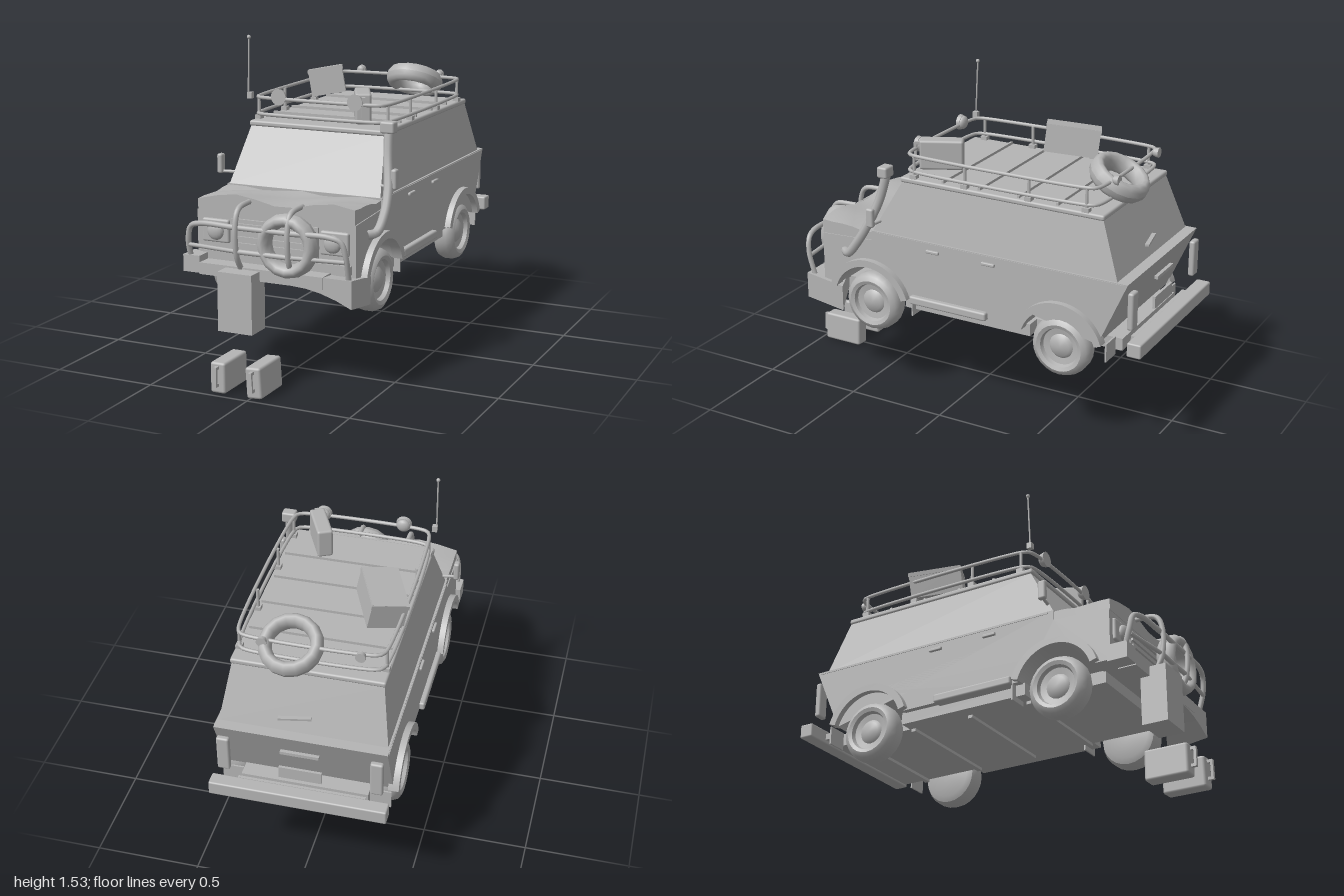
import * as THREE from 'three';
import { toCreasedNormals } from 'three/addons/utils/BufferGeometryUtils.js';
import { RoundedBoxGeometry } from 'three/addons/geometries/RoundedBoxGeometry.js';

const V = (x, y, z) => new THREE.Vector3(x, y, z);

export function createModel() {
  const model = new THREE.Group();
  const grey = new THREE.MeshStandardMaterial({ color: 0xb4b4b4 });
  grey.name = 'plain grey';

  const add = (name, geo, x = 0, y = 0, z = 0, rx = 0, ry = 0, rz = 0, parent = model) => {
    const mesh = new THREE.Mesh(geo, grey);
    mesh.name = name;
    mesh.position.set(x, y, z);
    mesh.rotation.set(rx, ry, rz);
    parent.add(mesh);
    return mesh;
  };
  const box = (w, h, d) => new THREE.BoxGeometry(w, h, d);
  const rbox = (w, h, d, r = 0.01) => new RoundedBoxGeometry(w, h, d, 2, r);
  // box given by its limits
  const span = (name, x0, x1, y0, y1, z0, z1, r = 0) =>
    add(name, r ? rbox(x1 - x0, y1 - y0, z1 - z0, r) : box(x1 - x0, y1 - y0, z1 - z0),
      (x0 + x1) / 2, (y0 + y1) / 2, (z0 + z1) / 2);
  const tube = (name, pts, r, closed = false, seg = 32) =>
    add(name, new THREE.TubeGeometry(new THREE.CatmullRomCurve3(pts, closed), seg, r, 8, closed));
  const bar = (name, a, b, r) => {
    const m = add(name, new THREE.CylinderGeometry(r, r, a.distanceTo(b), 8));
    m.position.copy(a).lerp(b, 0.5);
    m.quaternion.setFromUnitVectors(V(0, 1, 0), b.clone().sub(a).normalize());
  };
  // extrude a (z, y) outline across x
  const across = (shape, width) => new THREE.ExtrudeGeometry(shape, { depth: width, bevelEnabled: false, curveSegments: 20 })
    .translate(0, 0, -width / 2).rotateY(-Math.PI / 2);
  const warp = (geo, rule) => {
    const p = geo.attributes.position, v = V(0, 0, 0);
    for (let i = 0; i < p.count; i++) {
      v.fromBufferAttribute(p, i);
      rule(v);
      p.setXYZ(i, v.x, v.y, v.z);
    }
    return toCreasedNormals(geo, 0.3);
  };

  // lower body with wheel openings
  const axles = [-0.59, 0.44], wheelY = 0.47, archR = 0.2, dip = Math.asin(0.06 / archR);
  const side = new THREE.Shape();
  side.moveTo(-0.92, 0.53);
  for (const z of axles) side.absarc(z, wheelY, archR, Math.PI - dip, dip, true);
  for (const p of [[0.715, 0.53], [0.715, 0.785], [0.43, 0.8], [0.43, 0.85], [-0.92, 0.85]]) side.lineTo(...p);
  add('body', toCreasedNormals(across(side, 0.8), 0.5));
  span('floor', -0.3, 0.3, 0.475, 0.535, -0.86, 0.64);
  span('chassis', -0.37, 0.37, 0.475, 0.535, -0.42, 0.26);
  for (const z of [-0.72, -0.4, -0.08, 0.24]) span('crossMember', -0.3, 0.3, 0.46, 0.476, z - 0.012, z + 0.012);

  // tapered cabin and roof
  add('cabin', warp(box(2, 0.26, 2), v => {
    const top = v.y > 0;
    v.z = v.z > 0 ? (top ? 0.28 : 0.425) : (top ? -0.77 : -0.865);
    v.x = Math.sign(v.x) * (top ? 0.348 : 0.39);
  }), 0, 0.98, 0);
  span('roof', -0.355, 0.355, 1.108, 1.135, -0.775, 0.29, 0.01);

  // dented bonnet
  add('bonnet', warp(new THREE.BoxGeometry(0.79, 0.05, 0.29, 8, 1, 5), v => {
    const front = (v.z + 0.145) / 0.29;
    if (v.y > 0) v.y += front * (0.012 + 0.02 * Math.cos(v.x * 13 + 2.6)) + 0.008 * Math.sin(v.x * 19 + v.z * 30) * (1 - front);
    else v.y -= 0.01;
  }), 0, 0.815, 0.572);

  // wheels, arches and flaps
  const tyreProfile = [[0, -0.05], [0.11, -0.057], [0.137, -0.045], [0.148, -0.02], [0.148, 0.02], [0.137, 0.045],
    [0.115, 0.057], [0.097, 0.05], [0.09, 0.03], [0.06, 0.025], [0.045, 0.038], [0, 0.042]].map(p => new THREE.Vector2(...p));
  const wheelGeo = toCreasedNormals(new THREE.LatheGeometry(tyreProfile, 24), 0.7);
  const flare = new THREE.Shape();
  flare.absarc(0, 0, 0.23, 0.3, Math.PI - 0.3, false);
  flare.absarc(0, 0, 0.195, Math.PI - 0.3, 0.3, true);
  const flareGeo = toCreasedNormals(across(flare, 0.05), 0.5);
  for (const s of [-1, 1]) {
    for (const z of axles) {
      add('wheel', wheelGeo, s * 0.357, wheelY, z, 0, 0, -s * Math.PI / 2);
      add('wheelArch', flareGeo, s * 0.405, wheelY, z);
      add('mudFlap', box(0.1, 0.09, 0.008), s * 0.35, 0.495, z - 0.232);
    }
    add('sideStep', rbox(0.06, 0.042, 0.42), s * 0.395, 0.542, 0);
    for (const z of [0.085, -0.215]) add('doorHandle', rbox(0.016, 0.016, 0.07, 0.005), s * 0.405, 0.807, z);
    add('waistLine', box(0.006, 0.008, 1.3), s * 0.4, 0.842, -0.25);
    // mirrors
    add('mirror', rbox(0.028, 0.095, 0.04), s * 0.45, 0.938, 0.4);
    bar('mirrorArm', V(s * 0.38, 0.9, 0.39), V(s * 0.445, 0.9, 0.4), 0.008);
    // front lamps
    add('lampPanel', rbox(0.14, 0.11, 0.03), s * 0.3, 0.695, 0.715);
    add('headlight', new THREE.SphereGeometry(0.042, 16, 10).scale(1, 1, 0.5), s * 0.295, 0.695, 0.735);
    add('sideLamp', box(0.05, 0.02, 0.02), s * 0.3, 0.605, 0.715);
    // rear lamps
    add('rearLamp', rbox(0.06, 0.18, 0.03), s * 0.355, 0.715, -0.928);
  }

  // grille
  span('grillePanel', -0.22, 0.22, 0.62, 0.76, 0.71, 0.728);
  for (let i = 0; i < 4; i++) span('grilleSlat', -0.21, 0.21, 0.64 + i * 0.03, 0.652 + i * 0.03, 0.72, 0.738);
  span('frontValance', -0.38, 0.38, 0.56, 0.6, 0.7, 0.73);

  // front bumper, its right corner bent down and back
  span('frontBumper', -0.34, 0.28, 0.505, 0.56, 0.72, 0.81);
  span('frontBumperEnd', -0.425, -0.34, 0.51, 0.59, 0.71, 0.81);
  add('bentBumperEnd', warp(new THREE.BoxGeometry(0.3, 0.055, 0.09, 4, 1, 1), v => {
    const t = (v.x + 0.15) / 0.3;
    if (v.y < 0) v.y -= 0.075 * t * t;
    if (v.z < 0) { v.z -= 0.12 * t; v.y -= 0.03 * t; }
  }), 0.27, 0.532, 0.763);

  // bull bar
  for (const s of [-1, 1]) {
    tube('bullBarUpright', [V(s * 0.13, 0.55, 0.8), V(s * 0.13, 0.62, 0.84), V(s * 0.13, 0.76, 0.85),
      V(s * 0.13, 0.83, 0.82), V(s * 0.13, 0.845, 0.7)], 0.013);
    tube('bullBarSide', [V(s * 0.13, 0.75, 0.84), V(s * 0.32, 0.75, 0.83), V(s * 0.375, 0.73, 0.82),
      V(s * 0.395, 0.66, 0.81), V(s * 0.395, 0.55, 0.78)], 0.013);
  }
  for (const y of [0.64, 0.75]) bar('bullBarRail', V(-0.13, y, 0.84), V(0.13, y, 0.84), 0.012);
  for (const s of [-1, 1]) bar('bullBarLowerRail', V(s * 0.13, 0.64, 0.84), V(s * 0.39, 0.64, 0.81), 0.01);

  // loose tyres
  const ring = [];
  for (let i = 0; i <= 12; i++) {
    const t = i * Math.PI / 6;
    ring.push(new THREE.Vector2(0.117 + 0.031 * Math.cos(t), 0.048 * Math.sin(t)));
  }
  const tyreGeo = new THREE.LatheGeometry(ring, 16);
  add('frontSpareTyre', tyreGeo, 0.11, 0.685, 0.805, Math.PI / 2);
  add('roofSpareTyre', tyreGeo, 0.085, 1.225, -0.722, -0.5);

  // rear bumper, handles and plate
  span('rearBumper', -0.415, 0.415, 0.51, 0.58, -1, -0.93, 0.008);
  span('rearBumperMount', -0.3, 0.3, 0.53, 0.56, -0.94, -0.9);
  span('tailgateHandle', -0.09, 0.09, 0.765, 0.78, -0.932, -0.915);
  span('plate', -0.1, 0.1, 0.62, 0.68, -0.928, -0.915);
  add('rearWiper', box(0.15, 0.01, 0.02), 0.035, 0.93, -0.865, 0, 0.2, 0);

  // roof rack
  const X = 0.337, Z0 = -0.73, Z1 = 0.268, c = 0.05;
  const railPts = y => [[X, Z1, -1, 0], [-X, Z1, 0, -1], [-X, Z0, 1, 0], [X, Z0, 0, 1]].flatMap(([x, z]) => {
    const sx = Math.sign(x), sz = z > 0 ? 1 : -1, k = c * 0.293;
    const trio = [V(x, y, z - sz * c), V(x - sx * k, y, z - sz * k), V(x - sx * c, y, z)];
    return sx * sz > 0 ? trio : trio.reverse();
  });
  for (const y of [1.165, 1.245]) tube('rackRail', railPts(y), 0.009, true, 140);
  for (const s of [-1, 1]) for (const z of [-0.68, -0.39, -0.055, 0.22]) {
    bar('rackPost', V(s * X, 1.13, z), V(s * X, 1.245, z), 0.008);
    add('rackFoot', box(0.03, 0.022, 0.035), s * X, 1.142, z);
  }
  for (const z of [-0.535, -0.335, -0.13, 0.065]) span('rackSlat', -X, X, 1.135, 1.148, z - 0.006, z + 0.006);

  // rack lamps
  const rackLamp = (x, z, r, s) => {
    add('rackLampFace', new THREE.CylinderGeometry(r, r * 0.9, 0.018, 18), x, 1.255, z + s * 0.012, s * Math.PI / 2);
    add('rackLampBack', new THREE.SphereGeometry(r * 0.85, 14, 10).scale(1, 1, 0.6), x, 1.255, z);
  };
  for (const x of [-0.2, 0.197]) rackLamp(x, 0.265, 0.039, 1);
  for (const x of [-0.24, 0.205]) rackLamp(x, -0.755, 0.024, -1);

  // aerial
  bar('aerial', V(-0.36, 1.25, 0.285), V(-0.36, 1.53, 0.273), 0.004);
  add('aerialTip', new THREE.SphereGeometry(0.01, 10, 8), -0.36, 1.532, 0.273);
  add('aerialBase', box(0.025, 0.03, 0.025), -0.352, 1.255, 0.28);

  // snorkel
  tube('snorkel', [V(0.395, 0.715, 0.59), V(0.425, 0.72, 0.55), V(0.437, 0.79, 0.49), V(0.43, 0.89, 0.43),
    V(0.405, 1.02, 0.375), V(0.393, 1.15, 0.34)], 0.022);
  add('snorkelHead', rbox(0.07, 0.055, 0.055), 0.395, 1.165, 0.345);

  // cargo crate on the rack and fallen crate
  const crate = (name, w, h, d, ...place) => {
    const g = new THREE.Group();
    g.name = name;
    g.position.set(...place.slice(0, 3));
    g.rotation.set(...place.slice(3));
    add('crateBody', box(w, h, d), 0, 0, 0, 0, 0, 0, g);
    add('crateLid', box(w + 0.006, 0.02, d + 0.006), 0, h / 2 - 0.012, 0, 0, 0, 0, g);
    model.add(g);
  };
  crate('roofCrate', 0.17, 0.135, 0.26, -0.233, 1.255, -0.325, -0.13, 0.42, 0.22);
  span('fallenCrate', -0.203, -0.03, 0.275, 0.552, 0.763, 0.89);

  // fuel cans with a handle at one end
  const can = (...place) => {
    const g = new THREE.Group();
    g.name = 'fuelCan';
    g.position.set(...place.slice(0, 3));
    g.rotation.set(...place.slice(3));
    add('canBody', rbox(0.076, 0.145, 0.21, 0.012), 0, 0, 0, 0, 0, 0, g);
    add('canHandle', box(0.016, 0.09, 0.012), 0, 0.01, 0.126, 0, 0, 0, g);
    for (const y of [-0.03, 0.05]) add('canHandleStub', box(0.016, 0.014, 0.03), 0, y, 0.115, 0, 0, 0, g);
    model.add(g);
  };
  can(-0.163, 0.083, 0.868, 0, 0, 0);
  can(0.017, 0.083, 0.868, 0, 0, 0.06);
  can(0.182, 1.222, 0.16, 0, 0.45, 0);

  return model;
}
